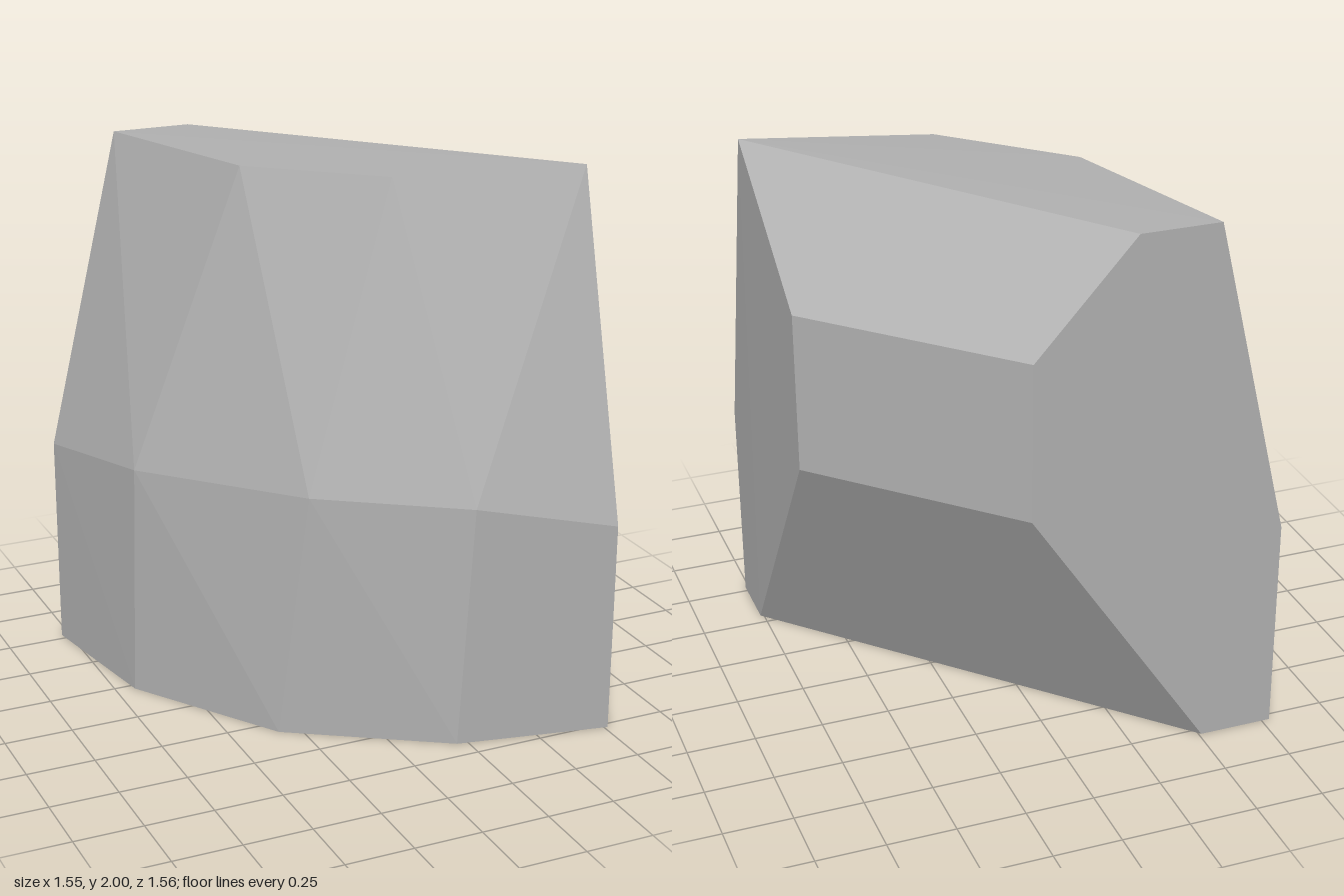
import * as THREE from 'three';
import { ConvexGeometry } from 'three/addons/geometries/ConvexGeometry.js';

export function createModel() {
  const model = new THREE.Group();
  model.name = 'boulder';

  const stone = new THREE.MeshStandardMaterial({ color: 0xb0b0b0 });
  stone.name = 'stone grey';

  // Corner rings of the faceted rock, from the ground up
  const base = [
    [-0.78, 0, -0.78], [-0.68, 0, -0.22], [-0.33, 0, 0.32], [0.21, 0, 0.665],
    [0.763, 0, 0.775], [0.763, 0, 0.55], [-0.51, 0, -0.78],
  ];
  const waist = [
    [-0.78, 0.8, -0.78], [-0.668, 0.88, -0.19], [-0.24, 0.91, 0.39],
    [0.26, 0.89, 0.677], [0.767, 0.78, 0.777],
  ];
  // Flat panel cut across the back corner
  const backPanel = [
    [0.15, 1.0, -0.78], [0.763, 0.99, -0.135],
    [0.15, 1.58, -0.78], [0.766, 1.575, -0.13],
  ];
  const crown = [
    [-0.5, 1.98, -0.78], [-0.29, 1.983, -0.08], [0.11, 1.987, 0.3],
    [0.775, 2, 0.457], [-0.21, 1.98, -0.78],
  ];

  const corners = [...base, ...waist, ...backPanel, ...crown]
    .map((p) => new THREE.Vector3(...p));
  const rock = new THREE.Mesh(new ConvexGeometry(corners), stone);
  rock.name = 'rock';
  model.add(rock);
  return model;
}
